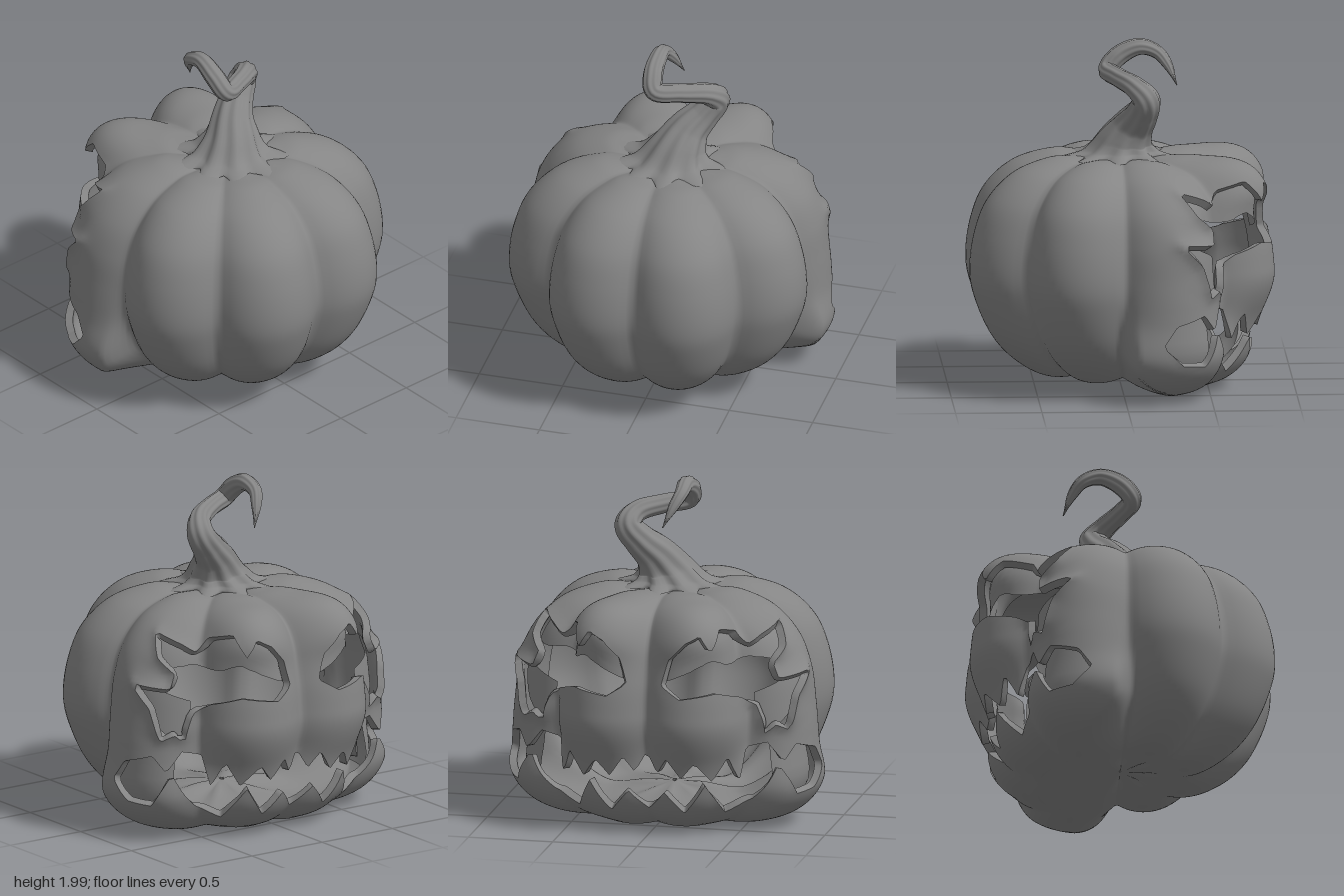
import * as THREE from 'three';

const V2 = (p) => new THREE.Vector2(p[0], p[1]);
const ss = THREE.MathUtils.smoothstep;
const lerp = THREE.MathUtils.lerp;
const gauss = (x, c, w) => Math.exp(-(((x - c) / w) ** 2));
const RAD = Math.PI / 180;
const ARC = 0.85 * RAD, LEN = 2.6; // scale (degrees, t) to surface lengths

// Profiles (radius, height) from bottom centre to top centre
const upper = [[0.93, 0.72], [0.9, 0.93], [0.82, 1.12], [0.66, 1.27], [0.45, 1.345], [0.3, 1.35], [0.12, 1.33], [0, 1.32]];
const plain = new THREE.SplineCurve([[0, 0.12], [0.2, 0.09], [0.45, 0.07], [0.65, 0.17], [0.8, 0.33], [0.9, 0.55], ...upper].map(V2));
const jawed = new THREE.SplineCurve([[0, 0.12], [0.25, 0.05], [0.55, 0.005], [0.82, 0.08], [0.965, 0.25], [0.95, 0.48], ...upper].map(V2));

// Carved openings, half face: [degrees from the back centre, height]
const eye = [[7, 0.93], [10, 1.08], [16, 1.17], [22, 1.2], [26, 1.13], [31, 1.22], [42, 1.21], [47, 1.14], [53, 1.18],
  [66, 1.23], [61, 1.1], [54, 1.02], [55, 0.93], [70, 0.95], [62, 0.82], [58, 0.62], [53, 0.66], [50, 0.6], [47, 0.78],
  [40, 0.84], [28, 0.89], [14, 0.86]];
const mouth = [[-6, 0.5], [0, 0.5], [5, 0.38], [9, 0.48], [15, 0.36], [20, 0.46], [28, 0.34], [34, 0.49], [40, 0.33], [44, 0.51],
  [51, 0.55], [56, 0.43], [61, 0.53], [72, 0.48], [77, 0.36], [70, 0.25], [61, 0.23], [54, 0.42], [46, 0.2], [36, 0.13],
  [25, 0.32], [17, 0.14], [8, 0.27], [0, 0.14], [-6, 0.14]];

// Convert a height to the matching place along the profile
function heightToT(y) {
  let best = 0, err = 9;
  for (let t = 2.3 / 13; t < 10 / 13; t += 0.002) {
    const e = Math.abs(jawed.getPoint(t).y - y);
    if (e < err) { err = e; best = t; }
  }
  return best;
}
const holes = [eye, mouth].map((h) => h.map(([a, y]) => [a * ARC, heightToT(y) * LEN]));

function inside(x, y) {
  return holes.some((h) => {
    let c = false;
    h.forEach(([x1, y1], i) => {
      const [x2, y2] = h[(i + 1) % h.length];
      if ((y1 > y) !== (y2 > y) && x < ((x2 - x1) * (y - y1)) / (y2 - y1) + x1) c = !c;
    });
    return c;
  });
}

function nearestEdge(x, y) {
  let best = { d: 9, x, y };
  for (const h of holes) h.forEach(([x1, y1], i) => {
    const [x2, y2] = h[(i + 1) % h.length], dx = x2 - x1, dy = y2 - y1;
    const k = THREE.MathUtils.clamp(((x - x1) * dx + (y - y1) * dy) / (dx * dx + dy * dy), 0, 1);
    const px = x1 + k * dx, py = y1 + k * dy, d = Math.hypot(px - x, py - y);
    if (d < best.d) best = { d, x: px, y: py };
  });
  return best;
}

// Ribbed surface with swollen brows and a jutting jaw
function surface(deg, t, edge) {
  const a = Math.abs(deg), w = 1 - ss(a, 85 - 30 * (1 - ss(t, 0.12, 0.3)), 94);
  const p = plain.getPoint(t).lerp(jawed.getPoint(t), w);
  const rib = (Math.sin(4 * deg * RAD) ** 2 + 0.012) ** 0.35;
  const s = lerp(rib, 0.9, 0.4 * w * (1 - ss(p.y, 0.25, 0.55)));
  let r = p.x * (0.815 + 0.185 * s);
  r *= 1 - 0.17 * (1 - ss(a, 28, 58)) * (1 - ss(p.y, 0.25, 0.72)) * ss(p.x, 0.4, 0.7);
  const brow = gauss(a, 22, 20) * ss(p.x, 0.3, 0.6);
  r += 0.125 * gauss(p.y, 1.21, 0.13) * brow;
  r += 0.035 * Math.exp(-edge / 0.04) * ss(a, 38, 50) * ss(p.y, 0.55, 0.7); // curled torn edges
  const y = p.y + (0.7 - p.y) * 0.05 * (1 - s) * ss(p.x, 0, 0.2) + 0.06 * gauss(p.y, 1.27, 0.08) * brow;
  return [r * Math.sin(deg * RAD), y, -r * Math.cos(deg * RAD)];
}

function shellGeometry(thickness) {
  const face = 152, cols = face + 68, rows = 118, n = cols * (rows + 1);
  const verts = [], tris = [];
  for (let j = 0; j <= rows; j++) for (let i = 0; i < cols; i++) {
    const v = { deg: i <= face ? -95 + i * 1.25 : 95 + (i - face) * 2.5, t: 0.004 + (0.992 * j) / rows, d: 9, cut: false };
    if (i <= face) {
      v.near = nearestEdge(Math.abs(v.deg) * ARC, v.t * LEN);
      v.d = v.near.d;
      v.cut = inside(Math.abs(v.deg) * ARC, v.t * LEN);
    }
    verts.push(v);
  }
  for (let j = 0; j < rows; j++) for (let i = 0; i < cols; i++) {
    const k = (i + 1) % cols, A = j * cols + i, C = j * cols + k, B = A + cols, D = C + cols;
    tris.push([A, B, C], [C, B, D]);
  }
  // Where a grid edge crosses the carved outline, pull its nearer end onto it
  for (const tri of tris) tri.forEach((p, i) => {
    const a = verts[p], b = verts[tri[(i + 1) % 3]];
    if (a.cut !== b.cut && !a.snap && !b.snap) (a.d < b.d ? a : b).snap = true;
  });
  for (const v of verts) if (v.snap) {
    v.deg = (v.deg < 0 ? -1 : 1) * Math.max(0, v.near.x / ARC);
    v.t = v.near.y / LEN;
    v.d = 0;
  }
  const pos = verts.flatMap((v) => surface(v.deg, v.t, v.d));

  // Outer skin without the openings
  const kept = tris.filter((tri) => {
    const m = tri.map((k) => verts[k]), free = m.filter((v) => !v.snap);
    if (free.length) return !free.some((v) => v.cut);
    return !inside((Math.abs(m[0].deg + m[1].deg + m[2].deg) / 3) * ARC, ((m[0].t + m[1].t + m[2].t) / 3) * LEN);
  });
  const nor = indexed(pos, kept.flat()).attributes.normal.array;
  const inner = pos.map((v, i) => v - thickness * nor[i]);

  // Inner skin reversed, and a rim wall along every open edge
  const index = [], edges = new Set();
  for (const [a, b, c] of kept) {
    index.push(a, b, c, n + a, n + c, n + b);
    for (const [p, q] of [[a, b], [b, c], [c, a]]) edges.add(p * n + q);
  }
  for (const e of edges) {
    const p = Math.floor(e / n), q = e % n;
    if (edges.has(q * n + p)) continue;
    const P = 2 * n + p, Q = 2 * n + q;
    index.push(Q, P, P + n, Q, P + n, Q + n);
  }
  return indexed([pos, inner, pos, inner].flat(), index);
}

function indexed(pos, index) {
  const g = new THREE.BufferGeometry();
  g.setAttribute('position', new THREE.Float32BufferAttribute(pos, 3));
  g.setIndex(index);
  g.computeVertexNormals();
  return g;
}

// Recessed sheet behind an opening; top and bottom give heights for k = 0..1
function flapGeometry(side, a0, a1, inset, top, bottom) {
  const g = new THREE.PlaneGeometry(1, 1, 24, 6), p = g.attributes.position;
  for (let i = 0; i < p.count; i++) {
    const k = p.getX(i) + 0.5, y = lerp(bottom(k), top(k), p.getY(i) + 0.5);
    const [x, h, z] = surface(side * lerp(a0, a1, k), heightToT(y), 9);
    p.setXYZ(i, x * inset, h, z * inset);
  }
  g.computeVertexNormals();
  return g;
}

// Twisting ridged stem: [x, y, z, radius]
function stemGeometry() {
  const keys = [[0, 1.335, 0.02, 0.285], [0.02, 1.37, 0, 0.21], [0.05, 1.43, -0.02, 0.16], [0.1, 1.52, -0.07, 0.118],
    [0.18, 1.61, -0.12, 0.092], [0.245, 1.7, -0.14, 0.078], [0.21, 1.765, -0.08, 0.062], [0.07, 1.8, 0.01, 0.054],
    [-0.07, 1.825, 0.065, 0.055], [-0.095, 1.9, 0, 0.056], [-0.09, 1.952, -0.12, 0.047], [-0.085, 1.92, -0.22, 0.038],
    [-0.05, 1.85, -0.28, 0.028], [0, 1.74, -0.33, 0.003]];
  const path = new THREE.CatmullRomCurve3(keys.map((k) => new THREE.Vector3(k[0], k[1], k[2])));
  const radius = new THREE.SplineCurve(keys.map((k, i) => new THREE.Vector2(i, k[3])));
  const rings = 104, sides = 54, pos = [], index = [];
  const up = new THREE.Vector3(0, 1, 0), nrm = new THREE.Vector3(1, 0, 0), bin = new THREE.Vector3();
  for (let j = 0; j <= rings; j++) {
    const u = j / rings, c = path.getPoint(u);
    const tan = path.getTangent(u).lerp(up, 1 - ss(u, 0.06, 0.3)).normalize();
    nrm.addScaledVector(tan, -nrm.dot(tan)).normalize();
    bin.crossVectors(tan, nrm);
    const r = radius.getPoint(u).y, ridge = 0.05 + 0.17 * Math.exp(-u * 16);
    for (let i = 0; i < sides; i++) {
      const th = (i / sides) * Math.PI * 2;
      const k = r * (1 + ridge * Math.cos(9 * th + u * 3));
      const v = c.clone().addScaledVector(nrm, k * Math.cos(th)).addScaledVector(bin, k * Math.sin(th));
      pos.push(v.x, v.y, v.z);
      if (j < rings) {
        const A = j * sides + i, B = j * sides + ((i + 1) % sides);
        index.push(A, A + sides, B, B, A + sides, B + sides);
      }
    }
  }
  return indexed(pos, index);
}

export function createModel() {
  const group = new THREE.Group();
  group.name = 'carvedPumpkin';
  const material = new THREE.MeshStandardMaterial({ color: 0x858585, side: THREE.DoubleSide });
  const add = (name, geometry) => {
    const mesh = new THREE.Mesh(geometry, material);
    mesh.name = name;
    group.add(mesh);
  };
  add('carvedShell', shellGeometry(0.045));
  add('stem', stemGeometry());
  for (const side of [-1, 1]) {
    const name = side > 0 ? 'left' : 'right';
    // Ragged inner brow, sunken outer eye corner and closed mouth corner
    add(name + 'InnerBrow', flapGeometry(side, 6, 68, 0.91, (k) => 1.1 + 0.14 * Math.sin(Math.PI * (0.1 + 0.7 * k)),
      (k) => 0.93 + 0.13 * Math.sin(Math.PI * Math.min(0.6, k * 1.3)) - 0.03 * Math.abs(Math.sin(9 * k))));
    add(name + 'EyeCorner', flapGeometry(side, 49, 72, 0.94, (k) => 0.84 + 0.13 * k, (k) => 0.6 + 0.32 * k * k));
    add(name + 'MouthCorner', flapGeometry(side, 55, 80, 0.9, () => 0.56, () => 0.18));
  }
  return group;
}
